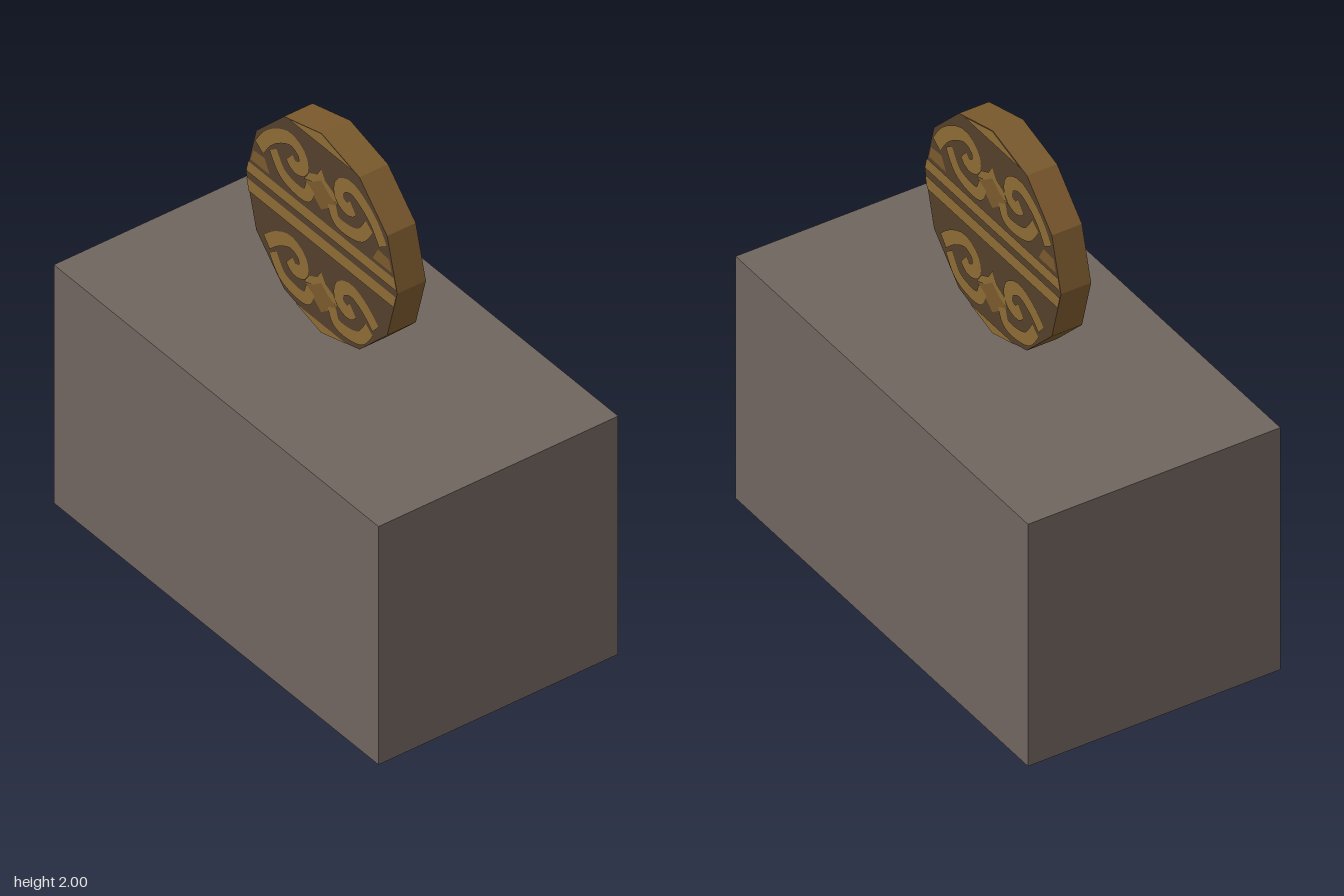
import * as THREE from 'three';

const mat = (name, color) => {
  const m = new THREE.MeshStandardMaterial({ color });
  m.name = name;
  return m;
};

const shapeOf = (pts) => new THREE.Shape(pts.map(([x, y]) => new THREE.Vector2(x, y)));
const mirrored = (pts) => pts.map(([x, y]) => [-x, y]);
const shifted = (pts, dy) => pts.map(([x, y]) => [x, y + dy]);

// Flat ribbon outline of constant width following a smooth curve
function ribbon(pts, halfWidth) {
  const curve = new THREE.SplineCurve(pts.map(([x, y]) => new THREE.Vector2(x, y)));
  const a = [], b = [];
  for (let i = 0; i <= 20; i++) {
    const p = curve.getPoint(i / 20), t = curve.getTangent(i / 20);
    a.push([p.x - t.y * halfWidth, p.y + t.x * halfWidth]);
    b.unshift([p.x + t.y * halfWidth, p.y - t.x * halfWidth]);
  }
  return [...a, ...b];
}

export function createModel() {
  const stone = mat('stone', 0x70655f);
  const bronze = mat('bronze', 0x7a592d);
  const recess = mat('dark recess', 0x543f2b);
  const gold = mat('gold', 0x8c6b35);
  const model = new THREE.Group();
  model.name = 'medallionOnBlock';

  // Plain block
  const block = new THREE.Mesh(new THREE.BoxGeometry(1.89, 1.055, 1.055), stone);
  block.name = 'block';
  block.position.y = 1.055 / 2;
  model.add(block);

  // Twelve-sided medallion floating above it
  const R = 0.44, T = 0.126;
  const medallion = new THREE.Group();
  medallion.name = 'medallion';
  medallion.position.y = 1.56;
  const discGeo = new THREE.CylinderGeometry(R, R, T, 12).toNonIndexed();
  discGeo.computeVertexNormals();
  discGeo.rotateX(Math.PI / 2);
  const disc = new THREE.Mesh(discGeo, [bronze, recess, recess]);
  disc.name = 'disc';
  medallion.add(disc);

  // Middle stripes and rim caps, relative to the disc centre
  const goldShapes = [
    [[-0.436, 0.012], [0.436, 0.012], [0.424, 0.06], [-0.424, 0.06]],
    [[-0.421, -0.07], [0.421, -0.07], [0.434, -0.018], [-0.434, -0.018]],
    [[-0.183, 0.39], [0.183, 0.39], [0, 0.44]],
    [[-0.147, -0.4], [0, -0.44], [0.147, -0.4]],
  ];
  const bronzeShapes = [];

  // Scroll motif, repeated above and below the stripes
  const arc = [[0.36, 0.16], [0.317, 0.223], [0.254, 0.276], [0.175, 0.308],
    [0.11, 0.276], [0.106, 0.22], [0.155, 0.2], [0.185, 0.225]];
  const hook = [[0.28, 0.2], [0.228, 0.13], [0.148, 0.107], [0.085, 0.115], [0.063, 0.165]];
  const peak = [[0, 0.285], [0.025, 0.245], [0.07, 0.225], [0.1, 0.18],
    [0.045, 0.2], [0, 0.235]];
  const peakBody = [[0, 0.235], [0.045, 0.2], [0.09, 0.18], [0.045, 0.14], [0, 0.105]];
  const edgePatch = [[0.3, 0.075], [0.41, 0.075], [0.395, 0.125], [0.33, 0.13]];
  for (const dy of [0, -0.455]) {
    const half = [ribbon(dy ? arc.slice(1) : arc, 0.028), ribbon(hook, 0.026), peak];
    for (const pts of half) {
      const p = shifted(pts, dy);
      goldShapes.push(p, mirrored(p));
    }
    const body = shifted(peakBody, dy);
    bronzeShapes.push(body, mirrored(body));
  }
  bronzeShapes.push(edgePatch, mirrored(edgePatch));

  // Thin ornament on both faces
  const goldGeo = new THREE.ShapeGeometry(goldShapes.map(shapeOf));
  const bronzeGeo = new THREE.ShapeGeometry(bronzeShapes.map(shapeOf));
  for (const [side, turn] of [['front', 0], ['back', Math.PI]]) {
    const face = new THREE.Group();
    face.name = side + 'Ornament';
    face.rotation.y = turn;
    const light = new THREE.Mesh(goldGeo, gold);
    light.name = side + 'ScrollsAndStripes';
    const mid = new THREE.Mesh(bronzeGeo, bronze);
    mid.name = side + 'Accents';
    light.position.z = T / 2 + 0.003;
    mid.position.z = T / 2 + 0.002;
    face.add(light, mid);
    medallion.add(face);
  }
  model.add(medallion);
  return model;
}
